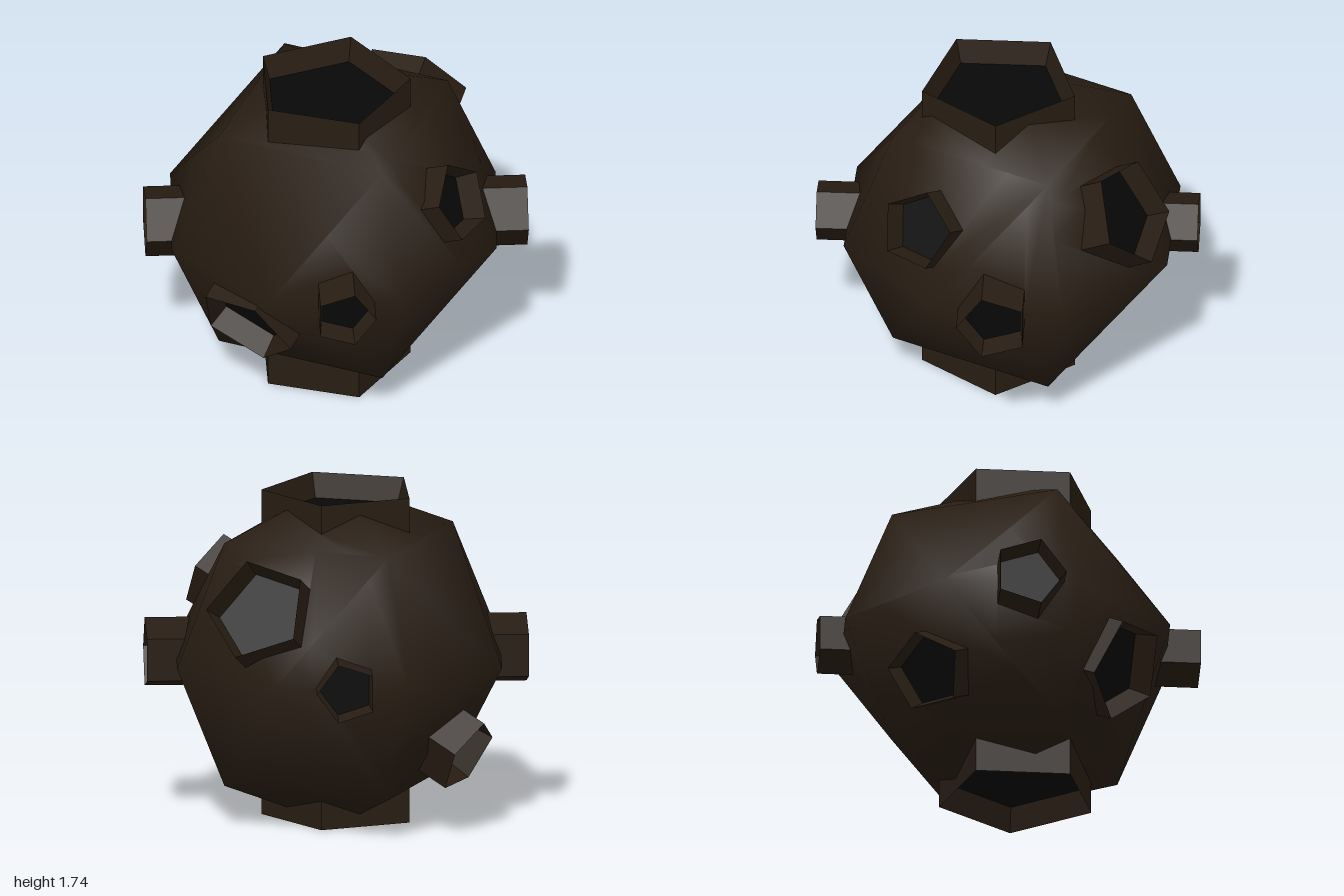
import * as THREE from 'three';

const V = (x, y, z) => new THREE.Vector3(x, y, z);
const CENTRE = V(-0.01, 0.87, -0.02);
const FLOOR_DEPTH = 0.13;

// Crater collars: name, rim centre, outward axis, direction of one pentagon corner, radius
const CRATERS = [
  ['topCrater', [-0.03, 1.74, 0.045], [0, 1, 0], [1, 0, 0], 0.42],
  ['bottomCrater', [-0.03, 0, 0.045], [0, -1, 0], [1, 0, 0], 0.42],
  ['frontCrater', [-0.002, 0.873, 1], [0, 0, 1], [1, 0, 0], 0.162],
  ['backCrater', [-0.002, 0.873, -1], [0, 0, -1], [1, 0, 0], 0.162],
  ['leftCrater', [1, 0.872, 0.025], [1, 0, 0], [0, 0, 1], 0.192],
  ['rightCrater', [-1, 0.872, 0.025], [-1, 0, 0], [0, 0, 1], 0.192],
  ['upperLeftFrontCrater', [0.64, 1.235, 0.45], [0.77, 0.43, 0.47], [-0.62, 0.28, 0.66], 0.21],
  ['lowerRightBackCrater', [-0.665, 0.42, -0.5], [-0.76, -0.45, -0.47], [-0.62, 0.28, 0.66], 0.21],
  ['upperLeftBackCrater', [0.46, 1.265, -0.685], [0.38, 0.52, -0.76], [0.85, -0.15, 0.5], 0.28],
  ['lowerRightFrontCrater', [-0.505, 0.555, 0.58], [-0.53, -0.44, 0.73], [0.85, -0.15, 0.5], 0.275],
].map(([name, c, axis, corner, r]) => {
  const n = V(...axis).normalize();
  const u = V(...corner);
  u.addScaledVector(n, -u.dot(n)).normalize();
  return { name, c: V(...c), n, u, w: n.clone().cross(u), r };
});

// Split a convex polygon of {p, n} points by a plane; returns [inside, outside]
function split(poly, plane) {
  const inside = [], outside = [];
  poly.forEach((a, i) => {
    const b = poly[(i + 1) % poly.length];
    const da = plane.distanceToPoint(a.p), db = plane.distanceToPoint(b.p);
    (da <= 0 ? inside : outside).push(a);
    if ((da <= 0) !== (db <= 0)) {
      const t = da / (da - db);
      const m = { p: a.p.clone().lerp(b.p, t), n: a.n.clone().lerp(b.n, t).normalize() };
      inside.push(m);
      outside.push(m);
    }
  });
  return [inside, outside];
}

// Smooth-shaded subdivided octahedron with a pentagonal hole cut under every crater
function ballGeometry() {
  const ball = new THREE.OctahedronGeometry(0.92, 1);
  ball.rotateY(20 * Math.PI / 180).translate(CENTRE.x, CENTRE.y, CENTRE.z);
  const pos = ball.attributes.position, nor = ball.attributes.normal;
  let polys = [];
  for (let i = 0; i < pos.count; i += 3) {
    polys.push([0, 1, 2].map(k => ({
      p: V().fromBufferAttribute(pos, i + k),
      n: V().fromBufferAttribute(nor, i + k),
    })));
  }
  for (const { c, n, u, w, r } of CRATERS) {
    const planes = [new THREE.Plane().setFromNormalAndCoplanarPoint(n.clone().negate(), CENTRE)];
    for (let k = 0; k < 5; k++) {
      const a = (k + 0.5) * Math.PI * 0.4;
      const d = u.clone().multiplyScalar(Math.cos(a)).addScaledVector(w, Math.sin(a));
      const onSide = c.clone().addScaledVector(d, r * Math.cos(Math.PI / 5));
      planes.push(new THREE.Plane().setFromNormalAndCoplanarPoint(d, onSide));
    }
    const kept = [];
    for (const whole of polys) {
      const pieces = [];
      let rest = whole;
      for (const plane of planes) {
        const [inside, outside] = split(rest, plane);
        if (outside.length > 2) pieces.push(outside);
        rest = inside;
        if (rest.length < 3) break;
      }
      if (rest.length < 3) kept.push(whole);
      else kept.push(...pieces);
    }
    polys = kept;
  }
  const P = [], N = [];
  for (const poly of polys) {
    for (let i = 1; i < poly.length - 1; i++) {
      for (const q of [poly[0], poly[i], poly[i + 1]]) {
        P.push(q.p.x, q.p.y, q.p.z);
        N.push(q.n.x, q.n.y, q.n.z);
      }
    }
  }
  const g = new THREE.BufferGeometry();
  g.setAttribute('position', new THREE.Float32BufferAttribute(P, 3));
  g.setAttribute('normal', new THREE.Float32BufferAttribute(N, 3));
  return g;
}

export function createModel() {
  const brown = 0x281d13;
  const ballMat = new THREE.MeshStandardMaterial({ color: brown });
  const wallMat = new THREE.MeshStandardMaterial({ color: brown, flatShading: true });
  const innerMat = new THREE.MeshStandardMaterial({ color: brown, flatShading: true, side: THREE.BackSide });
  const floorMat = new THREE.MeshStandardMaterial({ color: 0x080808 });

  const group = new THREE.Group();
  const add = (parent, name, geo, mat) => {
    const m = new THREE.Mesh(geo, mat);
    m.name = name;
    parent.add(m);
  };
  add(group, 'rockBall', ballGeometry(), ballMat);

  // Each crater: straight outer wall, tapered inner wall, dark floor
  for (const { name, c, n, u, w, r } of CRATERS) {
    const crater = new THREE.Group();
    crater.name = name;
    const wall = new THREE.CylinderGeometry(r, r, 0.3, 5, 1, true).translate(0, -0.15, 0);
    const inner = new THREE.CylinderGeometry(r, r * 0.9, FLOOR_DEPTH, 5, 1, true).translate(0, -FLOOR_DEPTH / 2, 0);
    const floor = new THREE.CircleGeometry(r * 0.9, 5).rotateX(-Math.PI / 2).rotateY(-Math.PI / 2).translate(0, -FLOOR_DEPTH, 0);
    add(crater, 'outerWall', wall, wallMat);
    add(crater, 'innerWall', inner, innerMat);
    add(crater, 'craterFloor', floor, floorMat);
    crater.quaternion.setFromRotationMatrix(new THREE.Matrix4().makeBasis(w, n, u));
    crater.position.copy(c);
    group.add(crater);
  }
  return group;
}
